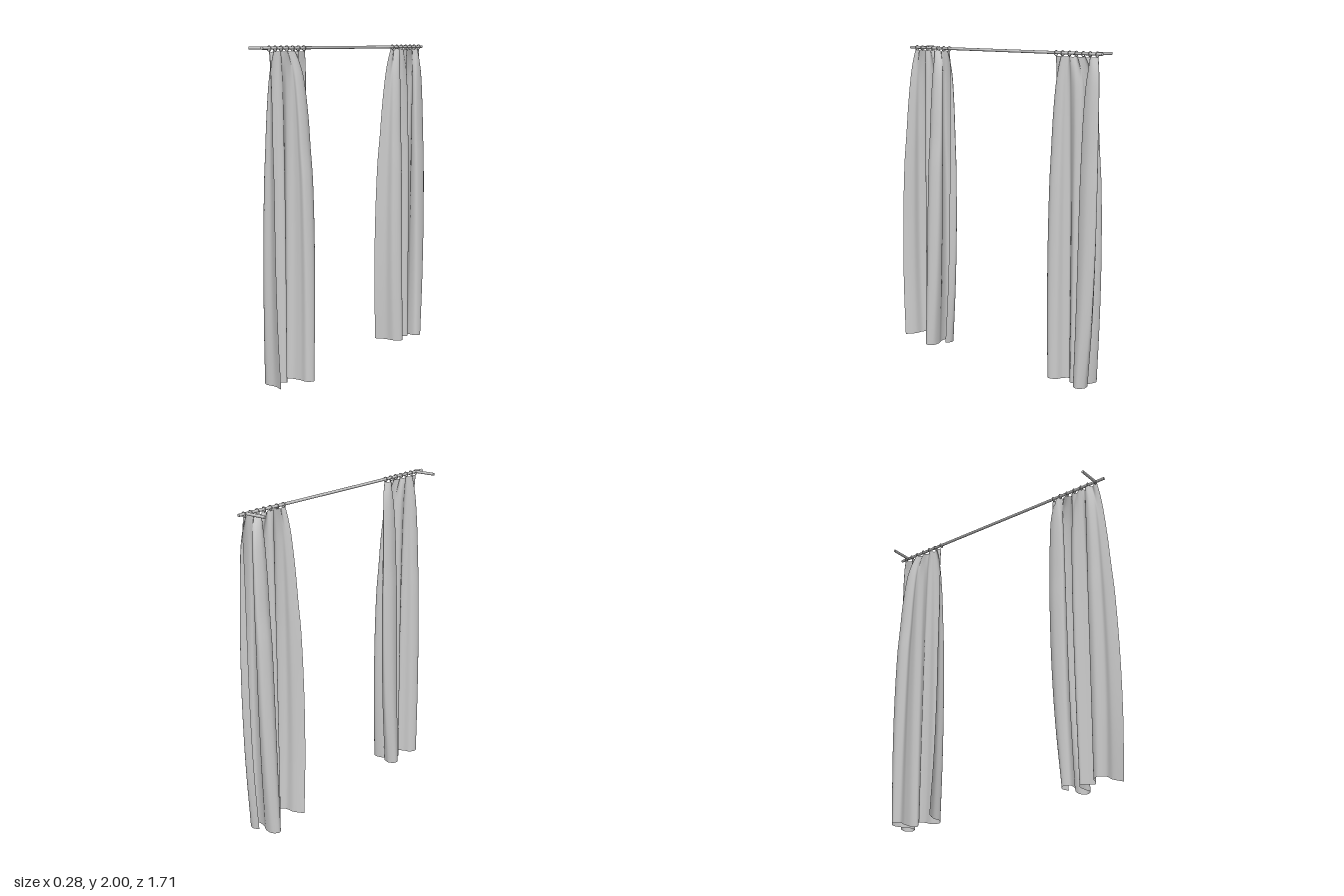
import * as THREE from 'three';

const material = new THREE.MeshStandardMaterial({ color: 0xcccccc });
const cloth = new THREE.MeshStandardMaterial({ color: 0xcccccc, side: THREE.DoubleSide });

const ROD_Y = 1.985;
const ROD_X = 0.005;
const RINGS = 7;
const RING_START = 0.465;
const RING_STEP = 0.054;
const HEM_IN = 0.5;
const HEM_OUT = 0.83;
const { lerp, smoothstep } = THREE.MathUtils;

// Drape by height: [y, fold depth, how far folds have formed, inner edge z, outer edge z]
const drape = [
  [0.00, 1.00, 1.00, 0.50, 0.83],
  [0.40, 0.95, 1.00, 0.46, 0.85],
  [0.80, 0.88, 1.00, 0.438, 0.855],
  [1.20, 0.77, 0.97, 0.43, 0.847],
  [1.40, 0.64, 0.93, 0.43, 0.838],
  [1.60, 0.53, 0.85, 0.431, 0.828],
  [1.80, 0.37, 0.65, 0.434, 0.815],
  [1.90, 0.23, 0.38, 0.442, 0.806],
  [1.985, 0.06, 0.00, 0.46, 0.795],
];

function drapeAt(y) {
  let i = 0;
  while (i < drape.length - 2 && y > drape[i + 1][0]) i++;
  const a = drape[i], b = drape[i + 1];
  const p = drape[Math.max(i - 1, 0)], q = drape[Math.min(i + 2, drape.length - 1)];
  const h = b[0] - a[0];
  const t = THREE.MathUtils.clamp((y - a[0]) / h, 0, 1);
  // smooth interpolation with slopes taken from the neighbouring rows
  return a.map((v, k) => {
    const m0 = ((b[k] - p[k]) / (b[0] - p[0])) * h;
    const m1 = ((q[k] - v) / (q[0] - a[0])) * h;
    const t2 = t * t, t3 = t2 * t;
    return (2 * t3 - 3 * t2 + 1) * v + (t3 - 2 * t2 + t) * m0 + (3 * t2 - 2 * t3) * b[k] + (t3 - t2) * m1;
  });
}

// Line of the folds along the bottom hem, (x, z) from the inner to the outer edge
const hem = new THREE.CatmullRomCurve3([
  [0.01, 0.515], [-0.035, 0.502], [-0.074, 0.53], [-0.06, 0.57], [0.0, 0.565],
  [0.05, 0.535], [0.105, 0.53], [0.135, 0.562], [0.11, 0.597], [0.06, 0.592],
  [0.0, 0.597], [-0.025, 0.62], [0.0, 0.655], [0.028, 0.685], [0.0, 0.708],
  [-0.05, 0.724], [-0.07, 0.765], [-0.035, 0.8], [0.03, 0.802], [0.10, 0.83],
].map(([x, z]) => new THREE.Vector3(x, 0, z)));

function makeCurtain(flip, shift) {
  const cols = 180, rows = 64;
  const points = hem.getSpacedPoints(cols);
  const geometry = new THREE.PlaneGeometry(1, 1, cols, rows);
  const pos = geometry.attributes.position;
  for (let j = 0; j <= rows; j++) {
    // rows bunch up toward the gathered top
    const v = 1 - Math.pow(j / rows, 1.5);
    for (let i = 0; i <= cols; i++) {
      const u = i / cols;
      const n = THREE.MathUtils.clamp((points[i].z - HEM_IN) / (HEM_OUT - HEM_IN), 0, 1);
      // cloth sags between the rings
      const sag = 0.012 * Math.abs(Math.sin(u * (RINGS - 1) * Math.PI));
      const y = lerp(0.001 + 0.014 * n, 1.976 - sag, v);
      const [, depth, formed, inner, outer] = drapeAt(y + sag * smoothstep(y, 1.7, 1.95));
      const pleat = 0.01 * Math.sin(u * (RINGS - 1) * Math.PI * 2) * (1 - formed);
      const x = points[i].x * depth + pleat;
      // only the outermost folds flare sideways, the middle hangs straight
      const folded = points[i].z + (inner - HEM_IN) * (1 - n) ** 5 + (outer - HEM_OUT) * n ** 5;
      const z = lerp(lerp(inner, outer, u), folded, formed);
      pos.setXYZ(j * (cols + 1) + i, ROD_X + flip * x, y, z + shift);
    }
  }
  geometry.computeVertexNormals();
  const mesh = new THREE.Mesh(geometry, cloth);
  mesh.name = 'curtain';
  return mesh;
}

function makePanel(name, flip, shift) {
  const panel = new THREE.Group();
  panel.name = name;
  panel.add(makeCurtain(flip, shift));
  // rings around the rod
  const ringGeometry = new THREE.TorusGeometry(0.0145, 0.0025, 8, 24);
  for (let k = 0; k < RINGS; k++) {
    const ring = new THREE.Mesh(ringGeometry, material);
    ring.name = 'ring';
    ring.position.set(ROD_X, ROD_Y - 0.002, RING_START + k * RING_STEP + shift);
    panel.add(ring);
  }
  return panel;
}

export function createModel() {
  const model = new THREE.Group();
  model.name = 'curtains';

  // Rod
  const rod = new THREE.Mesh(new THREE.CylinderGeometry(0.009, 0.009, 1.71, 20), material);
  rod.name = 'rod';
  rod.rotation.x = Math.PI / 2;
  rod.position.set(ROD_X, ROD_Y, 0);
  model.add(rod);

  // Wall brackets
  for (const z of [-0.795, 0.79]) {
    const bracket = new THREE.Mesh(new THREE.CylinderGeometry(0.009, 0.009, 0.145, 20), material);
    bracket.name = 'bracket';
    bracket.rotation.z = Math.PI / 2;
    bracket.position.set(ROD_X - 0.0725, ROD_Y, z);
    model.add(bracket);
  }

  // Two panels with opposite folds
  model.add(makePanel('frontPanel', 1, 0), makePanel('backPanel', -1, -1.28));
  return model;
}
